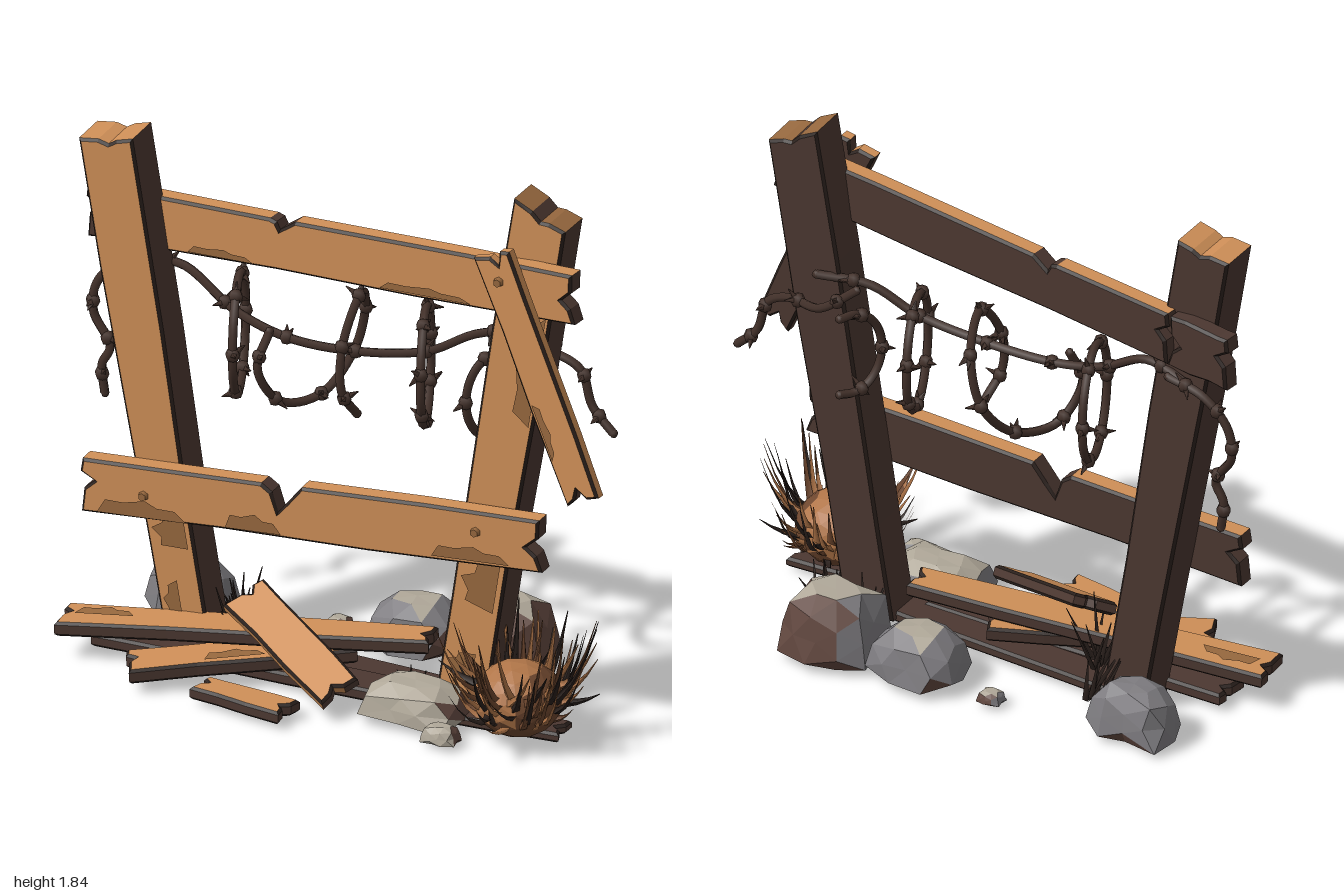
import * as THREE from 'three';
import { mergeGeometries } from 'three/addons/utils/BufferGeometryUtils.js';

const mat = (name, color, side = THREE.FrontSide) => {
  const m = new THREE.MeshStandardMaterial({ color, side });
  m.name = name;
  return m;
};
const V = (p) => new THREE.Vector3(...p);

export function createModel() {
  const M = {
    wood: mat('weathered wood', 0xd09058),
    shade: mat('dark wood', 0x4c3831),
    worn: mat('worn wood', 0x98693f),
    char: mat('charred edge', 0x2a201c, THREE.DoubleSide),
    stone: mat('pale stone', 0xb0a899),
    slate: mat('grey stone', 0x7e7c80),
    earth: mat('earthy stone', 0x624840),
    wire: mat('rusty wire', 0x44322b),
    twig: mat('dry twig', 0x70482f, THREE.DoubleSide),
    straw: mat('straw', 0xb07548, THREE.DoubleSide),
  };
  const root = new THREE.Group();
  let seed = 7;
  const rnd = (a = 0, b = 1) => {
    seed = (seed * 16807) % 2147483647;
    return a + (b - a) * (seed / 2147483647);
  };
  const add = (name, geo, material, parent = root) => {
    const mesh = new THREE.Mesh(geo, material);
    mesh.name = name;
    parent.add(mesh);
    return mesh;
  };
  const group = (name) => {
    const g = new THREE.Group();
    g.name = name;
    root.add(g);
    return g;
  };

  // Sorts faces into materials by the direction each face points
  const paint = (name, src, pick, mats, parent = root) => {
    const p = src.attributes.position;
    const lists = mats.map(() => []);
    const t = new THREE.Triangle();
    const n = new THREE.Vector3();
    for (let i = 0; i < p.count; i += 3) {
      t.setFromAttributeAndIndices(p, i, i + 1, i + 2).getNormal(n);
      for (const v of [t.a, t.b, t.c]) lists[pick(n)].push(v.x, v.y, v.z);
    }
    const geo = new THREE.BufferGeometry();
    geo.setAttribute('position', new THREE.Float32BufferAttribute(lists.flat(), 3));
    let start = 0;
    lists.forEach((l, i) => {
      geo.addGroup(start, l.length / 3, i);
      start += l.length / 3;
    });
    geo.computeVertexNormals();
    return add(name, geo, mats, parent);
  };

  // Board from a to b with split ends, charred edges, optional notch and worn patches [along, across, length, height]
  const BEV = 0.009;
  const board = (name, a, b, w0, w1, thick, { face = [0, 0, 1], notch, jag = 0.03, skew = 0, patches = [], light = M.wood, cap = light, top = 0.97, front = 0.6 } = {}) => {
    const g = group(name);
    const X = V(b).sub(V(a));
    const L = X.length();
    X.normalize();
    const Y = V(face).cross(X).normalize();
    const Z = X.clone().cross(Y);
    const m = new THREE.Matrix4().makeBasis(X, Y, Z).setPosition(...a);
    const pts = [];
    const put = (u, k) => {
      const h = (w0 + (w1 - w0) * u / L) / 2;
      pts.push(new THREE.Vector2(u + (u > L * 0.8 ? skew * k * h : 0), k * h));
    };
    put(0, -1); put(L * 0.3, -0.95); put(L * 0.62, -1.04); put(L, -1);
    put(L - jag * 0.5, -0.4); put(L - jag * 1.5, -0.1); put(L - jag * 0.2, 0.25); put(L, 0.95);
    put(L * 0.75, 1.02);
    if (notch) {
      const [u, w, d] = notch;
      put(u + w, 1); put(u + w * 0.4, 1 - d * 0.6); put(u, 1 - d); put(u - w * 0.2, 1 - d * 0.3); put(u - w * 0.6, 0.97);
    }
    put(L * 0.2, 0.98); put(jag * 0.4, 1); put(jag * 0.1, 0.5); put(jag * 1.5, 0.2); put(jag * 0.4, -0.1);
    const geo = new THREE.ExtrudeGeometry(new THREE.Shape(pts), {
      depth: thick - 2 * BEV, bevelThickness: BEV, bevelSize: BEV, bevelOffset: -BEV, bevelSegments: 1,
    });
    geo.translate(0, 0, BEV - thick / 2).applyMatrix4(m);
    const pick = (n) => {
      const d = Math.abs(n.dot(Z));
      if (d > 0.3 && d < 0.95) return 2;
      return n.z > front ? 0 : n.y > top ? 3 : 1;
    };
    paint(name + 'Body', geo, pick, [light, M.shade, M.char, cap], g);
    for (const [u, v, l, h] of patches) {
      const s = new THREE.Shape([[-1, -1], [1, -1], [0.75, 0.2], [0.35, 0.3], [0.1, 1], [-0.4, 0.5], [-0.8, 0.6]]
        .map(([x, y]) => new THREE.Vector2(u + x * l / 2, v + y * h / 2)));
      add('wornPatch', new THREE.ShapeGeometry(s).translate(0, 0, thick / 2 + 0.005).applyMatrix4(m), M.worn, g);
    }
  };

  // Leaning posts and their rails
  board('leftPost', [-0.54, 0.02, -0.04], [-0.84, 1.8, -0.03], 0.16, 0.2, 0.16,
    { jag: 0.012, top: 0.8, patches: [[0.43, 0, 0.14, 0.12], [0.18, 0.03, 0.14, 0.06]] });
  board('rightPost', [0.44, 0.02, -0.01], [0.695, 1.8, -0.07], 0.18, 0.2, 0.15,
    { jag: 0.012, top: 0.8, skew: 0.3, cap: M.worn, patches: [[0.45, 0, 0.18, 0.13], [0.15, 0.02, 0.1, 0.1], [1.25, -0.045, 0.4, 0.08]] });
  board('topRailEnd', [-0.98, 1.45, -0.15], [-0.74, 1.465, -0.124], 0.19, 0.19, 0.07, { light: M.shade });
  board('topRail', [-0.74, 1.465, -0.124], [0.86, 1.565, 0.055], 0.19, 0.18, 0.07,
    { notch: [0.5, 0.06, 0.4], patches: [[0.27, -0.065, 0.25, 0.03], [1.05, -0.065, 0.35, 0.03]] });
  board('lowerRail', [-0.9, 0.575, 0.075], [0.75, 0.67, 0.075], 0.19, 0.19, 0.075,
    { notch: [0.71, 0.09, 1.05], jag: 0.035, patches: [[0.22, -0.055, 0.32, 0.06], [0.62, -0.05, 0.2, 0.06], [1.4, -0.055, 0.28, 0.05]] });
  board('leaningBoard', [0.575, 1.69, 0.095], [0.935, 0.89, 0.155], 0.135, 0.125, 0.05,
    { top: 0.35, patches: [[0.62, -0.035, 0.2, 0.03]] });

  // Fallen boards
  const flat = { face: [0, 1, 0], jag: 0.02, front: 2 };
  const sunk = { ...flat, light: M.shade };
  board('longFallenBoard', [-0.94, 0.11, 0.17], [0.3, 0.185, -0.04], 0.17, 0.13, 0.05, { ...flat, patches: [[0.15, 0.02, 0.2, 0.06]] });
  board('crossFallenBoard', [-0.63, 0.065, 0.33], [0.02, 0.11, -0.04], 0.17, 0.16, 0.05, { ...flat, patches: [[0.35, -0.03, 0.2, 0.06]] });
  board('proppedBoard', [-0.35, 0.255, 0.03], [0.12, 0.095, 0.29], 0.16, 0.15, 0.045, { face: [0.1, 0.8, 0.55], jag: 0.02, top: 0.5 });
  board('shortBoard', [-0.37, 0.045, 0.335], [-0.02, 0.045, 0.39], 0.11, 0.13, 0.045, flat);
  board('buriedBoard', [-0.84, 0.045, 0.08], [0.3, 0.045, 0.1], 0.14, 0.14, 0.045, sunk);
  board('rearBuriedBoard', [-0.5, 0.04, -0.06], [0.55, 0.04, 0.02], 0.14, 0.12, 0.04, sunk);
  board('rightBuriedBoard', [0.2, 0.04, 0.16], [0.85, 0.035, 0.13], 0.13, 0.12, 0.035, sunk);

  // Nails
  const nails = group('nails');
  for (const [x, y, z] of [[-0.67, 0.58, 0.115], [0.52, 0.68, 0.115], [0.61, 1.6, 0.13]]) {
    add('nail', new THREE.CylinderGeometry(0.014, 0.02, 0.025, 6).rotateX(Math.PI / 2), M.worn, nails).position.set(x, y, z);
  }

  // Barbed wire: strand, coils and loose ends
  const wires = group('barbedWire');
  const strand = (name, pts, barbs, closed = false) => {
    const c = new THREE.CatmullRomCurve3(pts.map(V), closed);
    const parts = [new THREE.TubeGeometry(c, pts.length * 6, 0.0155, 5, closed)];
    if (!closed) {
      for (const e of [0, 1]) parts.push(new THREE.SphereGeometry(0.0155, 5, 4).translate(...c.getPointAt(e).toArray()));
    }
    for (let i = 0; i < barbs; i++) {
      const p = c.getPointAt((i + 0.5) / barbs);
      parts.push(new THREE.SphereGeometry(0.026, 6, 4).translate(p.x, p.y, p.z));
      for (let k = 0; k < 2; k++) {
        parts.push(new THREE.CylinderGeometry(0.002, 0.015, 0.045, 4).translate(0, 0.03, 0)
          .rotateX(rnd(0, 6)).rotateZ(rnd(0, 6)).translate(p.x, p.y, p.z));
      }
    }
    add(name, mergeGeometries(parts), M.wire, wires);
  };
  strand('saggingStrand', [[-0.8, 1.3, -0.13], [-0.63, 1.33, -0.1], [-0.42, 1.22, -0.06], [-0.22, 1.17, -0.04], [0.03, 1.17, -0.04],
    [0.27, 1.21, -0.06], [0.43, 1.29, -0.09], [0.6, 1.31, -0.15]], 6);
  const arc = (x, y, z, rx, ry, rz, from, to, n) => Array.from({ length: n }, (_, i) => {
    const t = from + (to - from) * i / (n - 1);
    return [x + rx * Math.sin(t), y + ry * Math.cos(t), z + rz * Math.sin(t)];
  });
  const loop = Math.PI * 2 * 11 / 12;
  strand('leftCoil', arc(-0.43, 1.12, -0.11, 0.055, 0.2, 0.17, 0, loop, 12), 6, true);
  strand('middleCoil', [[-0.27, 1.2, 0], [-0.295, 1.08, 0.04], [-0.24, 0.94, -0.03], [-0.15, 0.94, -0.15], [-0.08, 1.07, -0.25],
    [-0.03, 1.25, -0.23], [0, 1.34, -0.12], [-0.01, 1.2, 0], [0, 1.05, 0.03], [0.03, 0.95, -0.03]], 8);
  strand('rightCoil', arc(0.23, 1.12, -0.13, 0.055, 0.2, 0.16, 0, loop, 12), 7, true);
  strand('endCoil', arc(0.47, 1.05, -0.16, -0.065, 0.15, 0.1, -0.3, Math.PI + 0.3, 9), 3);
  strand('leftLooseEnd', [[-0.72, 1.31, -0.13], [-0.86, 1.28, -0.14], [-0.95, 1.19, -0.14], [-0.965, 1.08, -0.14], [-0.9, 0.97, -0.13],
    [-0.93, 0.9, -0.13], [-0.92, 0.8, -0.13]], 5);
  strand('rightLooseEnd', [[0.46, 1.28, -0.13], [0.56, 1.22, -0.2], [0.68, 1.22, -0.19], [0.76, 1.18, -0.19], [0.8, 1.06, -0.19], [0.88, 0.98, -0.18]], 4);

  // Rocks: squared-off faceted lumps with a pale top
  const rock = (name, x, z, rx, h, rz, pick) => {
    const geo = new THREE.IcosahedronGeometry(1, 1).rotateY(rnd(0, 3));
    const p = geo.attributes.position;
    const v = new THREE.Vector3();
    for (let i = 0; i < p.count; i++) {
      v.fromBufferAttribute(p, i);
      const s = 1 / Math.pow(v.x ** 6 + v.y ** 6 + v.z ** 6, 1 / 6);
      v.multiplyScalar(s * (0.98 + 0.05 * Math.sin(v.x * 5 + v.z * 3 + x * 9)));
      const taper = 0.95 - 0.17 * v.y;
      p.setXYZ(i, x + rx * taper * v.x, 0.02 + h * (Math.max(v.y, -0.75) + 0.75) / 1.75, z + rz * taper * v.z);
    }
    paint(name, geo, pick, [M.stone, M.slate, M.earth]);
  };
  const greyRock = (n) => (n.y < -0.2 || n.x > 0.75 ? 2 : n.y > 0.85 ? 0 : 1);
  const brownRock = (n) => (n.y > 0.85 ? 0 : n.x < -0.5 ? 1 : 2);
  const paleRock = (n) => (n.z > 0.35 || n.y > 0.7 ? 0 : n.x > 0.6 ? 2 : 1);
  rock('leftRock', -0.67, -0.26, 0.15, 0.18, 0.1, (n) => (n.y < -0.2 ? 2 : 1));
  rock('middleRock', 0.12, -0.3, 0.155, 0.18, 0.13, greyRock);
  rock('rightRock', 0.43, -0.31, 0.165, 0.24, 0.15, brownRock);
  rock('frontRock', 0.34, 0.19, 0.18, 0.13, 0.12, paleRock);
  rock('smallRock', 0.5, 0.34, 0.06, 0.06, 0.045, paleRock);
  rock('pebble', -0.17, -0.33, 0.042, 0.04, 0.038, brownRock);

  // Curved tapering blade: leaves p along d, then bends upward by lift
  const blade = (p, d, len, r, lift) => {
    const geo = new THREE.CylinderGeometry(0.002, r, 1, 3, 4, true).translate(0, 0.5, 0);
    const q = new THREE.Quaternion().setFromUnitVectors(new THREE.Vector3(0, 1, 0), d);
    const a = geo.attributes.position;
    const v = new THREE.Vector3();
    for (let i = 0; i < a.count; i++) {
      const t = a.getY(i);
      v.set(a.getX(i), t * len, a.getZ(i) * 0.6).applyQuaternion(q).add(p);
      a.setXYZ(i, v.x, Math.max(0.02, v.y + lift * t * t), v.z);
    }
    geo.computeVertexNormals();
    return geo;
  };

  // Dry bush: rounded core with broad curling blades all round
  const bush = group('dryBush');
  const heart = new THREE.Vector3(0.71, 0.155, 0.19);
  paint('bushCore', new THREE.IcosahedronGeometry(0.15, 2).scale(1, 0.85, 1).translate(...heart.toArray()),
    (n) => (n.x > 0.45 || n.y < -0.4 ? 1 : 0), [M.straw, M.twig], bush);
  const sets = [[], [], []];
  for (let i = 0; i < 84; i++) {
    const ang = i * 2.39996;
    const el = rnd(-0.6, 0.35);
    const d = new THREE.Vector3(Math.cos(ang) * Math.cos(el), Math.sin(el), Math.sin(ang) * Math.cos(el));
    const p = heart.clone().addScaledVector(d, 0.12);
    d.x += rnd(-0.7, 0.7);
    d.z += rnd(-0.7, 0.7);
    sets[i % 3].push(blade(p, d.normalize(), rnd(0.09, 0.17), 0.024, rnd(0.04, 0.25)));
  }
  add('darkBlades', mergeGeometries(sets[0]), M.char, bush);
  add('brownBlades', mergeGeometries(sets[1]), M.twig, bush);
  add('lightBlades', mergeGeometries(sets[2]), M.straw, bush);

  // Grass tufts around the post feet
  for (const [x, z, h] of [[-0.38, 0.0, 0.3], [-0.47, -0.18, 0.2], [0.4, -0.13, 0.22], [0.57, -0.12, 0.2], [0.3, 0.08, 0.13]]) {
    const blades = [];
    for (let i = 0; i < 9; i++) {
      const d = new THREE.Vector3(rnd(-0.5, 0.5), 1, rnd(-0.5, 0.5)).normalize();
      blades.push(blade(new THREE.Vector3(x + rnd(-0.03, 0.03), 0.03, z + rnd(-0.03, 0.03)), d, h * rnd(0.5, 1), 0.014, 0));
    }
    add('grassTuft', mergeGeometries(blades), M.char);
  }
  return root;
}
